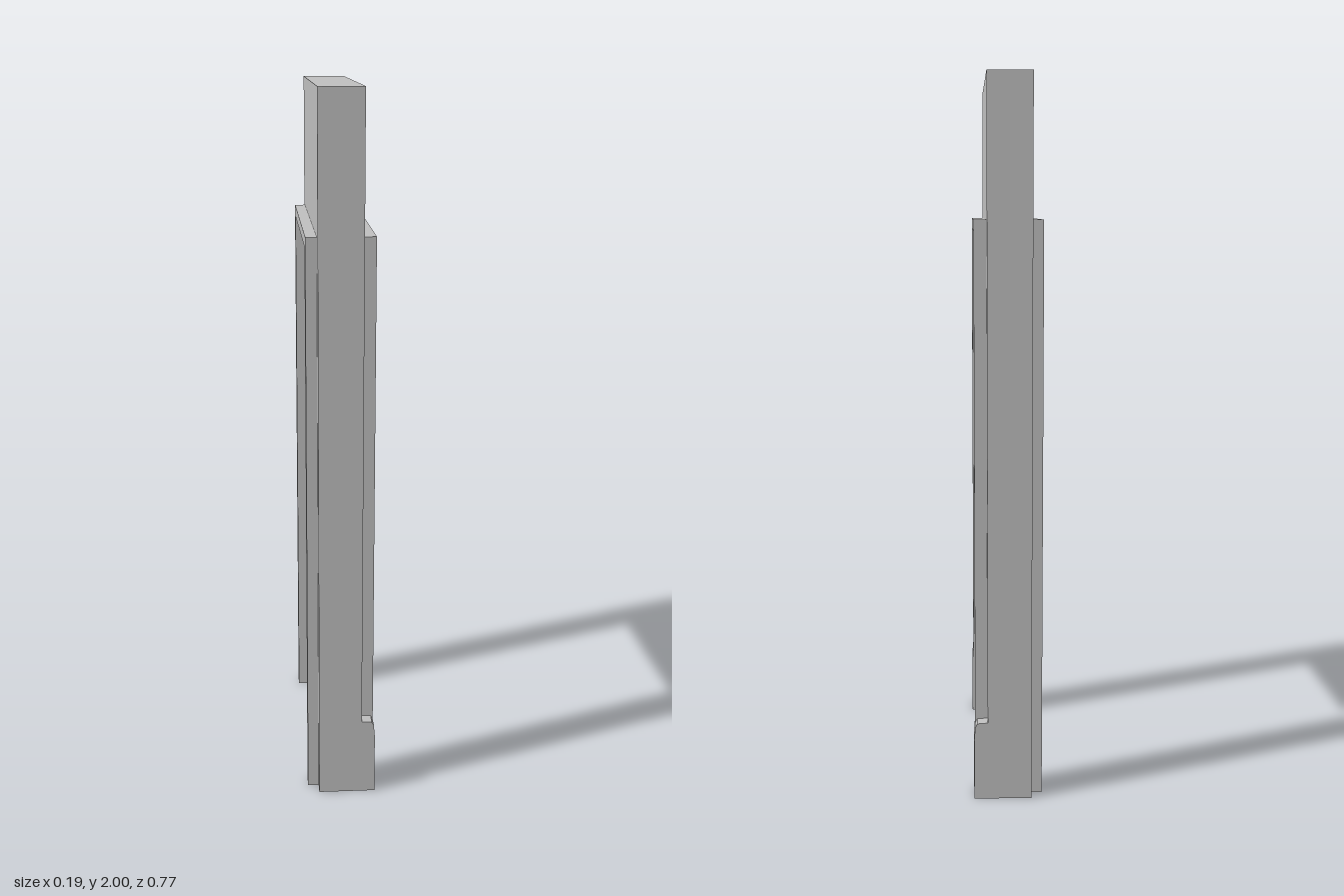
import * as THREE from 'three';

const OPEN_Z = 0.308, OPEN_Y = 1.585; // doorway half width and height

// Upside-down U outline around the doorway, extruded along x from x0 to x1
function archGeometry(halfWidth, height, x0, x1) {
  const s = new THREE.Shape();
  s.moveTo(-halfWidth, 0);
  s.lineTo(-OPEN_Z, 0);
  s.lineTo(-OPEN_Z, OPEN_Y);
  s.lineTo(OPEN_Z, OPEN_Y);
  s.lineTo(OPEN_Z, 0);
  s.lineTo(halfWidth, 0);
  s.lineTo(halfWidth, height);
  s.lineTo(-halfWidth, height);
  s.closePath();
  const g = new THREE.ExtrudeGeometry(s, { depth: x1 - x0, bevelEnabled: false });
  g.rotateY(Math.PI / 2);
  g.translate(x0, 0, 0);
  return g;
}

export function createModel() {
  const group = new THREE.Group();
  const plaster = new THREE.MeshStandardMaterial({ color: 0xc0c0c0 });
  plaster.name = 'plaster grey';

  const add = (name, geometry) => {
    const mesh = new THREE.Mesh(geometry, plaster);
    mesh.name = name;
    group.add(mesh);
    return mesh;
  };

  // Wall section with the doorway, and raised trim on both faces
  add('wall', archGeometry(0.384, 2, -0.066, 0.057));
  add('trimRight', archGeometry(0.345, 1.615, -0.097, -0.066));
  add('trimLeft', archGeometry(0.345, 1.615, 0.057, 0.092));

  // Plinth blocks with a softened top edge, at the foot of each jamb
  const profile = new THREE.Shape([
    [0.057, 0], [0.095, 0], [0.095, 0.175], [0.092, 0.21], [0.086, 0.221], [0.057, 0.223],
  ].map(([x, y]) => new THREE.Vector2(x, y)));
  for (const [name, z] of [['plinthFront', OPEN_Z], ['plinthBack', -0.384]]) {
    const plinth = new THREE.ExtrudeGeometry(profile, { depth: 0.384 - OPEN_Z, bevelEnabled: false });
    add(name, plinth).position.z = z;
  }
  return group;
}
